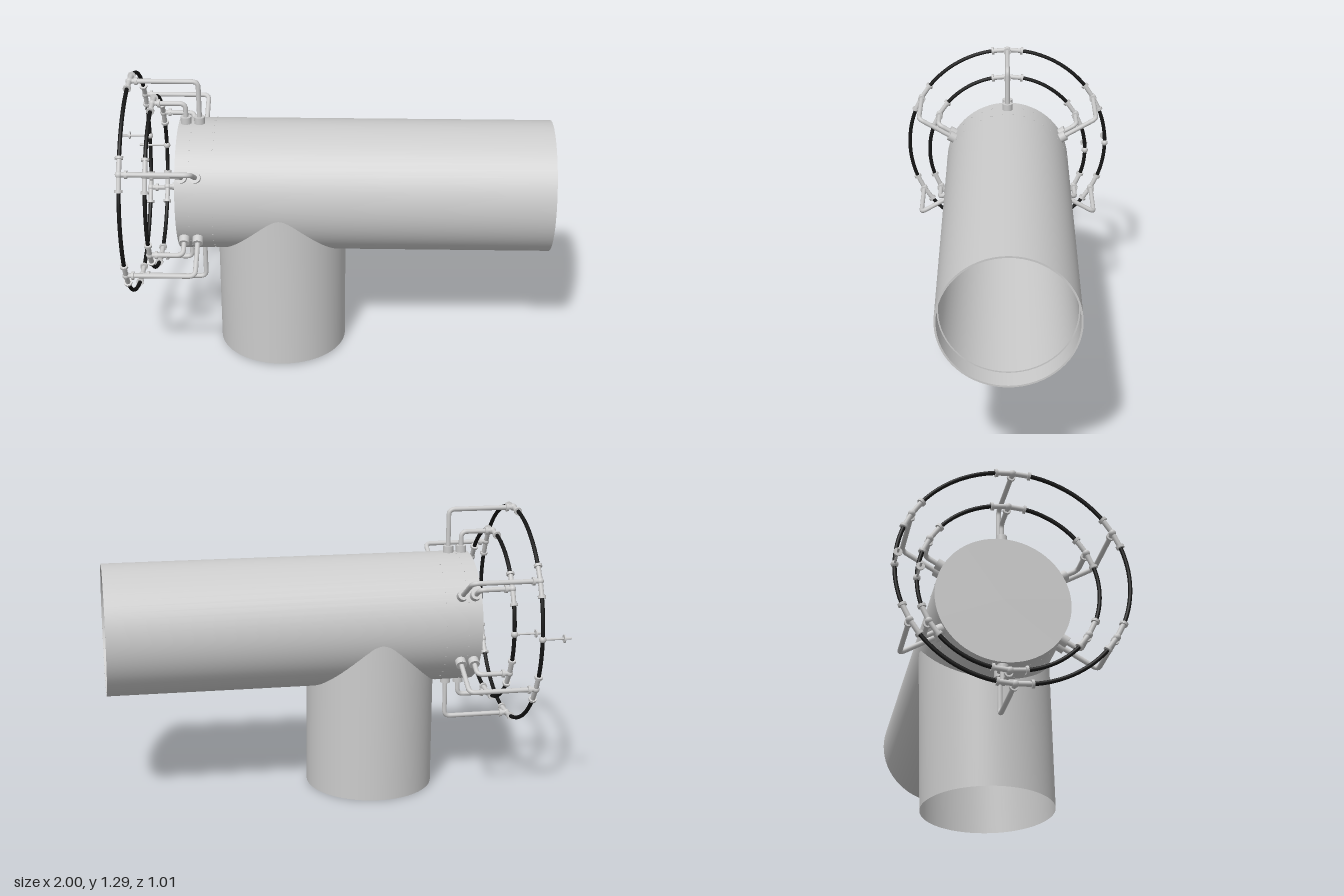
import * as THREE from 'three';

const grey = new THREE.MeshStandardMaterial({ color: 0xcccccc });
const greyOpen = new THREE.MeshStandardMaterial({ color: 0xcccccc, side: THREE.DoubleSide });
const black = new THREE.MeshStandardMaterial({ color: 0x151515 });

const AXIS_Y = 0.785;   // height of the main pipe axis
const R = 0.295;        // main pipe radius
const V = (x, y, z) => new THREE.Vector3(x, y, z);

function add(parent, name, geometry, material = grey) {
  const mesh = new THREE.Mesh(geometry, material);
  mesh.name = name;
  parent.add(mesh);
  return mesh;
}

// Straight round bar between two points
function rod(parent, name, a, b, radius, sides = 16) {
  const mesh = add(parent, name, new THREE.CylinderGeometry(radius, radius, a.distanceTo(b), sides));
  mesh.position.copy(a).add(b).multiplyScalar(0.5);
  mesh.quaternion.setFromUnitVectors(V(0, 1, 0), b.clone().sub(a).normalize());
  return mesh;
}

// Profile of [radius, x] pairs turned around the x axis
function turned(parent, name, profile, material = greyOpen, sides = 64) {
  const geo = new THREE.LatheGeometry(profile.map(([r, x]) => new THREE.Vector2(r, x)), sides);
  geo.rotateZ(-Math.PI / 2);
  return add(parent, name, geo, material);
}

// Hose ring fittings, feed pipe and hose for one sixth of a manifold
function manifoldSector(parent, radius, ringX, bossX) {
  const half = 0.07 / radius;
  const onRing = a => V(ringX, radius * Math.cos(a), radius * Math.sin(a));

  // Tee on the ring with a collar at each end
  for (const s of [-1, 1]) {
    rod(parent, 'teeBranch', onRing(0), onRing(s * half), 0.011);
    rod(parent, 'teeCollar', onRing(s * half * 0.93), onRing(s * half * 1.1), 0.018);
  }
  add(parent, 'teeBody', new THREE.SphereGeometry(0.016, 16, 12)).position.copy(onRing(0));
  rod(parent, 'feedCollar', V(ringX + 0.024, radius, 0), V(ringX + 0.036, radius, 0), 0.018);

  // Feed pipe with a rounded elbow down to the casing
  const bend = 0.028;
  const path = new THREE.CurvePath();
  path.add(new THREE.LineCurve3(V(ringX, radius, 0), V(bossX - bend, radius, 0)));
  path.add(new THREE.QuadraticBezierCurve3(V(bossX - bend, radius, 0), V(bossX, radius, 0), V(bossX, radius - bend, 0)));
  path.add(new THREE.LineCurve3(V(bossX, radius - bend, 0), V(bossX, R, 0)));
  add(parent, 'feedPipe', new THREE.TubeGeometry(path, 60, 0.011, 12));
  rod(parent, 'boss', V(bossX, R - 0.015, 0), V(bossX, R + 0.03, 0), 0.024, 20);

  // Flexible hose to the next tee
  const hose = new THREE.TorusGeometry(radius, 0.009, 10, 24, Math.PI / 3 - 2 * half);
  hose.rotateZ(Math.PI / 2 + half);
  hose.rotateY(Math.PI / 2);
  hose.translate(ringX, 0, 0);
  add(parent, 'hose', hose, black);
}

// Supply inlet on the rear side of a manifold ring
function inlet(parent, radius, ringX) {
  const z = -radius;
  add(parent, 'inletBody', new THREE.SphereGeometry(0.016, 16, 12)).position.set(ringX, 0, z);
  rod(parent, 'inletPipe', V(ringX, 0, z), V(ringX - 0.13, 0, z), 0.005, 12);
  rod(parent, 'inletFlange', V(ringX - 0.095, 0, z), V(ringX - 0.101, 0, z), 0.018, 20);
}

export function createModel() {
  const model = new THREE.Group();
  model.name = 'pipeTeeWithManifolds';

  const body = new THREE.Group();
  body.name = 'mainBody';
  body.position.y = AXIS_Y;
  model.add(body);

  // Main pipe with a thin rim at the open end
  turned(body, 'mainPipe', [[R, -0.66], [R, 1]]);
  turned(body, 'pipeRim', [[R, 1], [0.287, 1]]);
  turned(body, 'pipeBore', [[0.287, 1], [0.287, -0.6]]);
  turned(body, 'endCap', [[0, -0.66], [R, -0.66]]);

  // Tapered liner inside the open end
  turned(body, 'linerLip', [[0.287, 0.9], [0.281, 0.9]]);
  turned(body, 'liner', [[0.281, 0.9], [0.262, -0.5]]);

  // Nozzle plate with a raised ring and seven nozzles
  turned(body, 'nozzlePlate', [[0, -0.5], [0.262, -0.5]]);
  turned(body, 'plateStep', [[0.195, -0.5], [0.195, -0.49]]);
  turned(body, 'plateCentre', [[0.195, -0.49], [0, -0.49]]);
  for (let i = 0; i < 7; i++) {
    const a = Math.PI / 2 + i * Math.PI / 3;
    const r = i < 6 ? 0.096 : 0;
    const nozzle = turned(body, 'nozzle',
      [[0.028, -0.49], [0.028, -0.45], [0.018, -0.45], [0.018, -0.48], [0, -0.48]], greyOpen, 24);
    nozzle.geometry = nozzle.geometry.toNonIndexed();
    nozzle.geometry.computeVertexNormals();
    nozzle.position.set(0, r * Math.sin(a), r * Math.cos(a));
  }

  // Two rows of small studs around the head end
  for (const x of [-0.6, -0.5]) {
    for (let i = 0; i < 36; i++) {
      const a = (i + 0.5) * Math.PI / 18;
      const p = V(0, Math.cos(a), Math.sin(a));
      rod(body, 'stud', p.clone().multiplyScalar(R - 0.004).setX(x), p.clone().multiplyScalar(R + 0.001).setX(x), 0.004, 6);
    }
  }

  // Branch pipe: slightly leaning, its top edge saddled to the main pipe
  const branch = new THREE.CylinderGeometry(0.291, 0.291, 1, 96, 1, true);
  const pos = branch.attributes.position;
  for (let i = 0; i < pos.count; i++) {
    const z = pos.getZ(i);
    const y = pos.getY(i) > 0 ? AXIS_Y - Math.sqrt(R * R - z * z) + 0.003 : 0.005 + 0.016 * z;
    pos.setXYZ(i, pos.getX(i) - 0.208, y, z + (AXIS_Y - y) * 0.02);
  }
  add(model, 'branchPipe', branch, greyOpen);

  // Outer and inner manifolds: [ring radius, ring x, boss x]
  for (const [radius, ringX, bossX] of [[0.492, -0.87, -0.568], [0.387, -0.775, -0.628]]) {
    const manifold = new THREE.Group();
    manifold.name = radius > 0.4 ? 'outerManifold' : 'innerManifold';
    body.add(manifold);
    for (let k = 0; k < 6; k++) {
      const sector = new THREE.Group();
      sector.name = 'manifoldSector';
      sector.rotation.x = k * Math.PI / 3;
      manifold.add(sector);
      manifoldSector(sector, radius, ringX, bossX);
    }
    inlet(manifold, radius, ringX);
  }
  return model;
}
